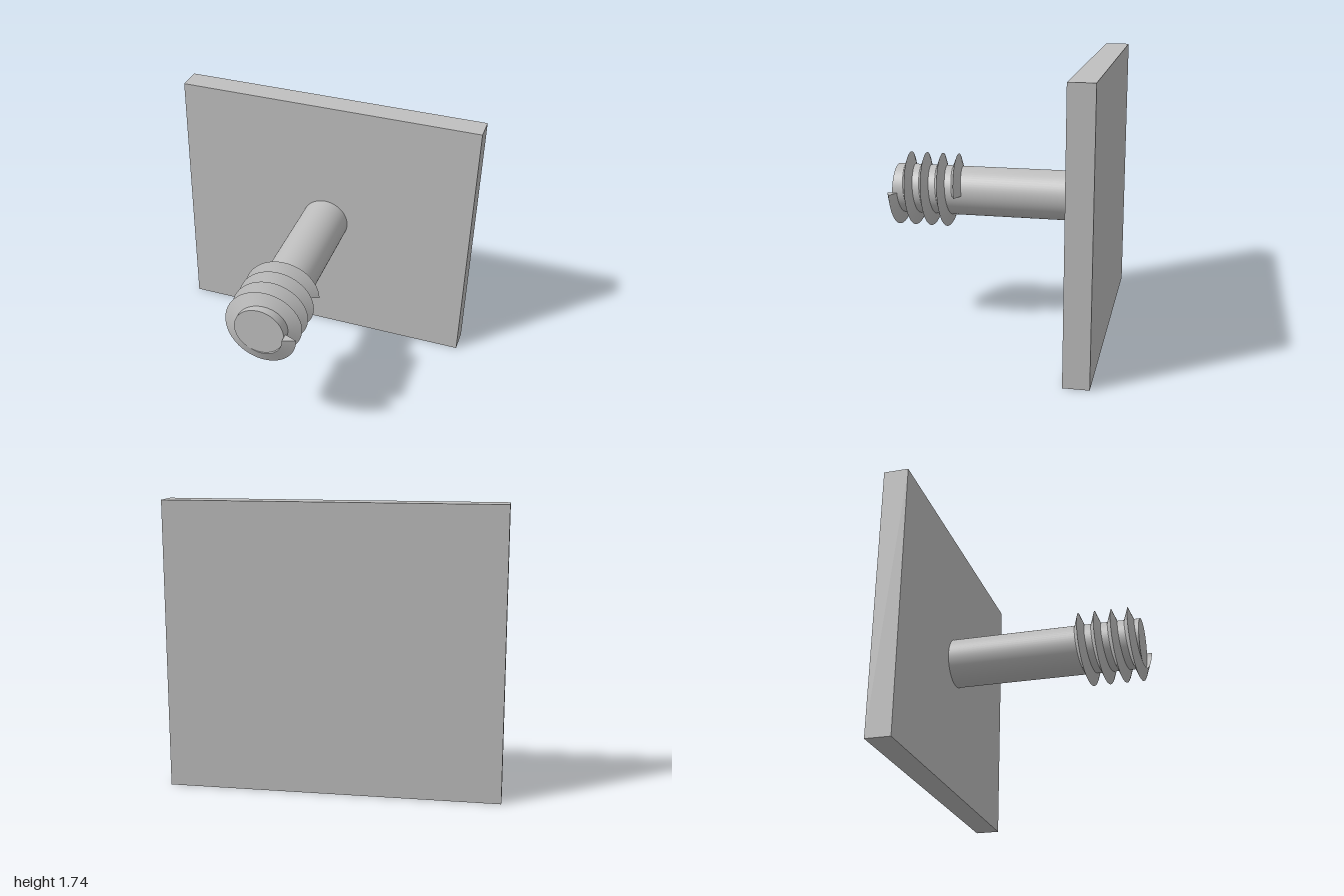
import * as THREE from 'three';

const AXIS_Y = 0.868;

// Helical ridge of triangular section around the z axis
function threadGeometry(rootR, crestR, halfWidth, zStart, pitch, turns, perTurn) {
  const profile = [[rootR, -halfWidth], [crestR, 0], [rootR, halfWidth]];
  const steps = turns * perTurn;
  const pos = [], index = [];
  const push = ([r, dz], i) => {
    const a = (i / perTurn) * Math.PI * 2;
    pos.push(r * Math.cos(a), r * Math.sin(a), zStart + dz + (pitch * i) / perTurn);
  };
  // one strip per side of the section, so the crest stays sharp
  for (let k = 0; k < 3; k++) {
    const base = pos.length / 3;
    for (let i = 0; i <= steps; i++) {
      push(profile[k], i);
      push(profile[(k + 1) % 3], i);
      if (i === steps) continue;
      const a = base + 2 * i;
      index.push(a, a + 2, a + 1, a + 1, a + 2, a + 3);
    }
  }
  // end caps
  for (const [i, order] of [[0, [0, 1, 2]], [steps, [0, 2, 1]]]) {
    const base = pos.length / 3;
    order.forEach((k) => push(profile[k], i));
    index.push(base, base + 1, base + 2);
  }
  const geo = new THREE.BufferGeometry();
  geo.setAttribute('position', new THREE.Float32BufferAttribute(pos, 3));
  geo.setIndex(index);
  geo.computeVertexNormals();
  return geo;
}

export function createModel() {
  const group = new THREE.Group();
  const grey = new THREE.MeshStandardMaterial({ color: 0xbfbfbf });
  grey.name = 'grey';
  const add = (name, geo, y, z) => {
    const mesh = new THREE.Mesh(geo, grey);
    mesh.name = name;
    mesh.position.set(0, y, z);
    group.add(mesh);
  };

  // upright back plate
  add('plate', new THREE.BoxGeometry(2, 2 * AXIS_Y, 0.157), AXIS_Y, -0.637);

  // round shaft standing out of the plate
  const back = -0.56, front = 0.683;
  const shaft = new THREE.CylinderGeometry(0.159, 0.159, front - back, 64);
  shaft.rotateX(Math.PI / 2);
  add('shaft', shaft, AXIS_Y, (front + back) / 2);

  // four-turn screw thread near the tip
  add('thread', threadGeometry(0.158, 0.238, 0.032, 0.257, 0.1068, 4, 64), AXIS_Y, 0);

  return group;
}
